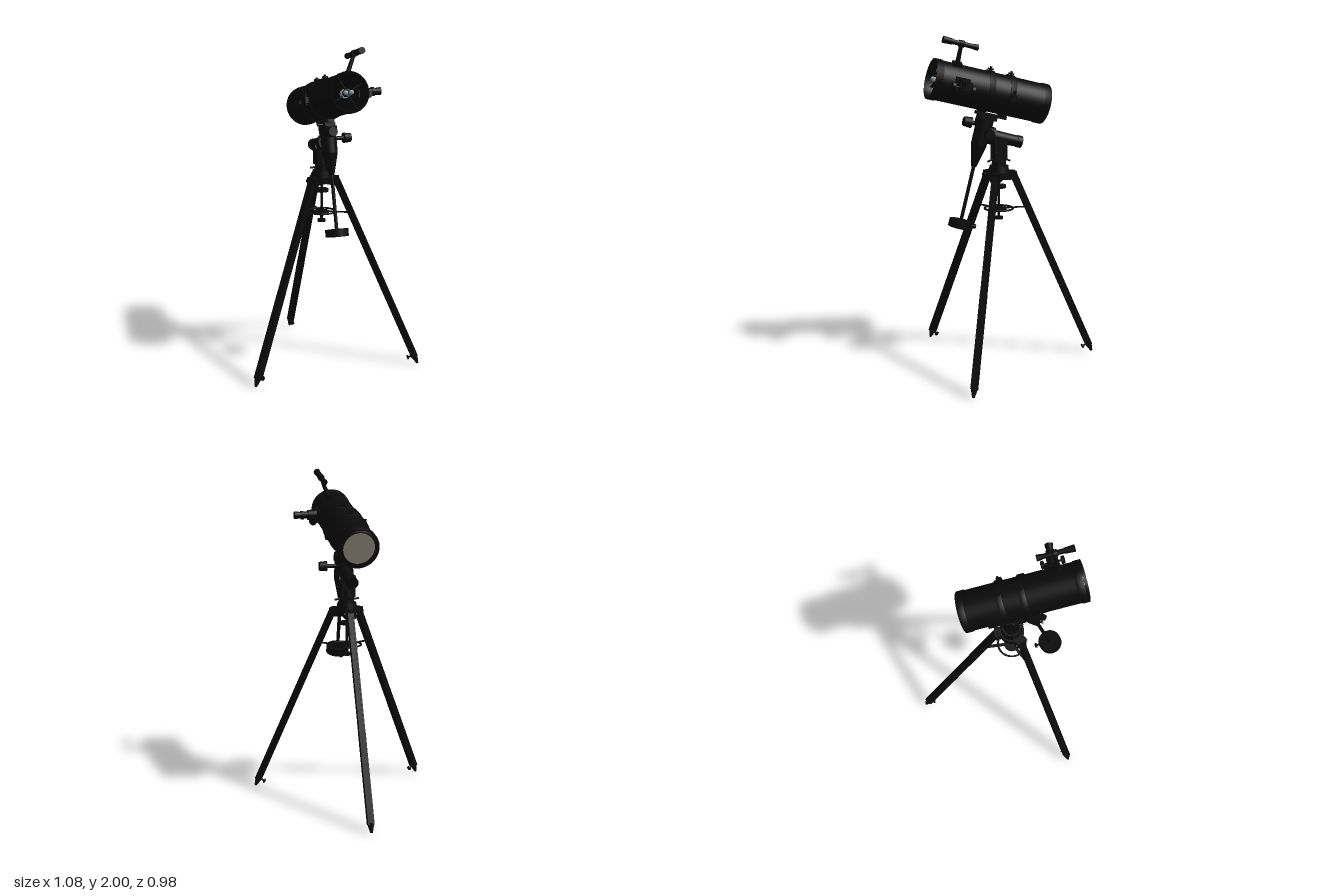
import * as THREE from 'three';

const black = new THREE.MeshStandardMaterial({ color: 0x0a0a0a, side: THREE.DoubleSide });
const mirrorBack = new THREE.MeshStandardMaterial({ color: 0x8c857a });
const glass = new THREE.MeshStandardMaterial({ color: 0x8fa3b5 });
const V = (x, y, z) => new THREE.Vector3(x, y, z);
const UP = V(0, 1, 0);

function add(parent, name, geometry, pos = V(0, 0, 0), mat = black) {
  const mesh = new THREE.Mesh(geometry, mat);
  mesh.name = name;
  mesh.position.copy(pos);
  parent.add(mesh);
  return mesh;
}

// Round bar from a to b, radius ra at a and rb at b
function rod(parent, name, a, b, ra, rb = ra, mat = black, sides = 28) {
  const axis = b.clone().sub(a);
  const mesh = add(parent, name, new THREE.CylinderGeometry(rb, ra, axis.length(), sides),
    a.clone().add(b).multiplyScalar(0.5), mat);
  mesh.quaternion.setFromUnitVectors(UP, axis.normalize());
  return mesh;
}

// Turned part along the x axis; profile is [radius, x]
function turned(parent, name, profile, mat = black) {
  const mesh = add(parent, name,
    new THREE.LatheGeometry(profile.map(([r, x]) => new THREE.Vector2(r, x)), 56), V(0, 0, 0), mat);
  mesh.rotation.z = -Math.PI / 2;
  return mesh;
}

function box(parent, name, w, h, d, pos) {
  return add(parent, name, new THREE.BoxGeometry(w, h, d), pos);
}

function buildTripod() {
  const tripod = new THREE.Group();
  tripod.name = 'tripod';
  tripod.position.set(0.022, 0, -0.135);

  // Column, head and spreader rod
  rod(tripod, 'headPlate', V(0, 1.15, 0), V(0, 1.185, 0), 0.075);
  rod(tripod, 'headCollar', V(0, 1.185, 0), V(0, 1.225, 0), 0.062, 0.056);
  rod(tripod, 'column', V(0, 1.225, 0), V(0, 1.30, 0), 0.044, 0.038);
  rod(tripod, 'centreRod', V(0, 0.9, 0), V(0, 1.16, 0), 0.008);
  rod(tripod, 'clampDisc', V(0, 1.09, 0), V(0, 1.108, 0), 0.042);
  rod(tripod, 'spreaderHub', V(0, 0.952, 0), V(0, 0.968, 0), 0.047);
  rod(tripod, 'rodKnob', V(0, 0.9, 0), V(0, 0.915, 0), 0.026);
  add(tripod, 'spreaderRing', new THREE.TorusGeometry(0.085, 0.006, 8, 40), V(0, 0.965, 0))
    .rotation.x = Math.PI / 2;

  const feet = [[-0.555, -0.27], [0.51, -0.348], [0.046, 0.617]];
  for (const [fx, fz] of feet) {
    // Each leg is built with local +z pointing outwards
    const side = new THREE.Group();
    side.name = 'legAssembly';
    side.rotation.y = Math.atan2(fx, fz);
    tripod.add(side);
    const reach = Math.hypot(fx, fz);
    const top = V(0, 1.17, 0.09), foot = V(0, 0.0, reach);
    const axis = top.clone().sub(foot), length = axis.length();

    const leg = new THREE.Group();
    leg.name = 'leg';
    leg.position.copy(foot);
    leg.quaternion.setFromUnitVectors(UP, axis.normalize());
    side.add(leg);
    for (const s of [-1, 1])
      box(leg, 'legRail', 0.009, length * 0.56, 0.037, V(s * 0.0135, length * 0.72, 0));
    box(leg, 'legUpperCore', 0.02, length * 0.56, 0.03, V(0, length * 0.72, 0));
    box(leg, 'legLower', 0.038, length * 0.42, 0.037, V(0, length * 0.25, 0));
    rod(leg, 'footTip', V(0, 0.004, 0), V(0, 0.06, 0), 0.007, 0.022, black, 16);
    rod(leg, 'footScrew', V(0, 0.06, -0.015), V(0, 0.06, -0.042), 0.006);
    rod(leg, 'footScrewKnob', V(0, 0.06, -0.038), V(0, 0.06, -0.046), 0.014);

    box(side, 'legHinge', 0.062, 0.05, 0.065, V(0, 1.165, 0.07));
    rod(side, 'hingeBolt', V(-0.04, 1.165, 0.09), V(0.04, 1.165, 0.09), 0.012);
    box(side, 'spreaderArm', 0.018, 0.006, 0.16, V(0, 0.965, 0.1));
  }

  // Fork carrying the polar axis, with its adjusting bolts
  const fork = new THREE.Group();
  fork.name = 'altitudeFork';
  fork.rotation.y = -0.42;
  tripod.add(fork);
  for (const s of [-1, 1]) {
    box(fork, 'forkCheek', 0.075, 0.13, 0.014, V(0, 1.325, s * 0.036));
    rod(fork, 'azimuthBolt', V(0, 1.245, s * 0.03), V(0, 1.245, s * 0.075), 0.006);
    rod(fork, 'altitudeBolt', V(s * 0.025, 1.27, 0), V(s * 0.07, 1.25, 0), 0.006);
  }
  rod(fork, 'altitudePivot', V(0, 1.36, -0.052), V(0, 1.36, 0.052), 0.026);
  box(fork, 'forkCore', 0.06, 0.09, 0.06, V(0, 1.32, 0));
  return tripod;
}

// Mount head: x along the tube, y along the declination axis
function buildMount(head) {
  rod(head, 'polarHousing', V(-0.235, 0, 0), V(-0.02, 0, 0), 0.033, 0.04);
  rod(head, 'polarCap', V(-0.255, 0, 0), V(-0.225, 0, 0), 0.036);
  rod(head, 'polarGear', V(-0.075, 0, 0), V(-0.035, 0, 0), 0.052);
  rod(head, 'declinationHousing', V(0, -0.07, 0), V(0, 0.07, 0), 0.047);
  rod(head, 'declinationTaper', V(0, -0.2, 0), V(0, -0.07, 0), 0.016, 0.047);
  rod(head, 'declinationGear', V(0, 0.045, 0), V(0, 0.088, 0), 0.055);
  box(head, 'saddle', 0.11, 0.022, 0.065, V(-0.01, 0.099, 0));
  box(head, 'dovetailBar', 0.19, 0.018, 0.04, V(-0.03, 0.118, 0));
  rod(head, 'saddleScrew', V(0, 0.1, 0.03), V(0, 0.1, 0.065), 0.009);

  // Slow-motion controls
  rod(head, 'declinationControl', V(0.03, 0.05, 0.015), V(0.08, 0.05, 0.015), 0.012);
  rod(head, 'declinationKnob', V(0.07, 0.05, 0.015), V(0.118, 0.05, 0.015), 0.033, 0.028, black, 16);
  rod(head, 'polarControl', V(-0.01, 0.015, -0.03), V(-0.01, 0.015, -0.11), 0.012);
  rod(head, 'polarKnob', V(-0.01, 0.015, -0.1), V(-0.01, 0.015, -0.145), 0.031, 0.027, black, 16);

  // Counterweight on its shaft
  rod(head, 'counterweightShaft', V(0, -0.575, 0), V(0, -0.18, 0), 0.0105);
  rod(head, 'counterweight', V(0, -0.572, 0), V(0, -0.528, 0), 0.07);
  rod(head, 'counterweightScrew', V(-0.065, -0.55, 0), V(-0.09, -0.55, 0), 0.006);
  rod(head, 'counterweightKnob', V(-0.085, -0.55, 0), V(-0.097, -0.55, 0), 0.014);
}

function buildTube() {
  const tube = new THREE.Group();
  tube.name = 'opticalTube';

  // Open tube with a rim at each end
  turned(tube, 'tubeShell', [[0.112, -0.35], [0.116, -0.35], [0.116, 0.35], [0.112, 0.35], [0.112, -0.35]]);
  for (const [a, b] of [[-0.356, -0.315], [0.315, 0.356]])
    turned(tube, 'endRim', [[0.108, a], [0.12, a], [0.12, b], [0.108, b], [0.108, a]]);
  turned(tube, 'rearCell', [[0.093, -0.354], [0.114, -0.354], [0.114, -0.33], [0, -0.33]]);
  rod(tube, 'mirrorBack', V(-0.35, 0, 0), V(-0.325, 0, 0), 0.094, 0.094, mirrorBack, 48);

  // Secondary mirror on its spider
  for (const a of [0, Math.PI / 2])
    box(tube, 'spiderVane', 0.018, 0.222, 0.002, V(0.315, 0, 0)).rotation.x = a + 0.5;
  rod(tube, 'secondaryHolder', V(0.295, 0, 0), V(0.335, 0, 0), 0.022);
  rod(tube, 'secondaryMirror', V(0.27, 0, 0), V(0.295, 0, 0), 0.026, 0.026, glass);
  for (const z of [-0.018, 0.018])
    add(tube, 'secondaryScrew', new THREE.SphereGeometry(0.014, 16, 10), V(0.337, 0, z), glass);

  // Mounting rings with clasp, hinge, top knob and foot
  [-0.114, 0.016].forEach((x, i) => {
    turned(tube, 'tubeRing', [[0.115, x - 0.017], [0.125, x - 0.017], [0.125, x + 0.017],
      [0.115, x + 0.017], [0.115, x - 0.017]]);
    const s = i ? 1 : -1;
    box(tube, 'ringClasp', 0.03, 0.035, 0.024, V(x, 0, s * 0.131));
    rod(tube, 'claspScrew', V(x, -0.03, s * 0.135), V(x, 0.04, s * 0.135), 0.007);
    box(tube, 'ringHinge', 0.03, 0.02, 0.012, V(x, 0, -s * 0.126));
    rod(tube, 'ringPost', V(x, 0.12, 0), V(x, 0.146, 0), 0.007);
    rod(tube, 'ringKnob', V(x, 0.127, 0), V(x, 0.136, 0), 0.018);
    box(tube, 'ringFoot', 0.034, 0.016, 0.045, V(x, -0.125, 0));
  });

  // Focuser and eyepiece on the far side
  const focuser = new THREE.Group();
  focuser.name = 'focuser';
  focuser.position.set(0.2, 0.012, 0);
  tube.add(focuser);
  box(focuser, 'focuserBase', 0.085, 0.07, 0.02, V(0, 0, -0.117));
  rod(focuser, 'focuserBody', V(0, 0, -0.115), V(0, 0, -0.18), 0.034, 0.03);
  rod(focuser, 'drawTube', V(0, 0, -0.17), V(0, 0, -0.215), 0.021);
  rod(focuser, 'drawTubeCollar', V(0, 0, -0.205), V(0, 0, -0.222), 0.026);
  rod(focuser, 'eyepiece', V(0, 0, -0.22), V(0, 0, -0.262), 0.019, 0.024);
  rod(focuser, 'focusAxle', V(-0.055, -0.02, -0.158), V(0.055, -0.02, -0.158), 0.006);
  for (const s of [-1, 1])
    rod(focuser, 'focusWheel', V(s * 0.05, -0.02, -0.158), V(s * 0.068, -0.02, -0.158), 0.023);

  // Finder scope on its stalk
  const finder = new THREE.Group();
  finder.name = 'finderScope';
  finder.rotation.x = -0.39;
  tube.add(finder);
  box(finder, 'finderShoe', 0.055, 0.022, 0.036, V(0.235, 0.124, 0));
  rod(finder, 'finderStalk', V(0.235, 0.13, 0), V(0.25, 0.24, 0), 0.014, 0.011);
  rod(finder, 'finderTube', V(0.17, 0.25, 0), V(0.32, 0.25, 0), 0.014);
  rod(finder, 'finderObjective', V(0.305, 0.25, 0), V(0.362, 0.25, 0), 0.017, 0.02);
  rod(finder, 'finderEyepiece', V(0.15, 0.25, 0), V(0.18, 0.25, 0), 0.018, 0.016);
  turned(finder, 'finderRing', [[0.013, 0.235], [0.02, 0.235], [0.02, 0.265], [0.013, 0.265]])
    .position.y = 0.25;
  return tube;
}

export function createModel() {
  const model = new THREE.Group();
  model.name = 'telescope';
  model.add(buildTripod());

  // Tilted frame shared by the mount head and the tube
  const along = V(0.886, 0.239, 0.398).normalize();
  const across = along.clone().cross(UP).normalize();
  const upward = across.clone().cross(along);
  const head = new THREE.Group();
  head.name = 'equatorialHead';
  head.quaternion.setFromRotationMatrix(new THREE.Matrix4().makeBasis(along, upward, across));
  head.position.set(0.122, 1.42, -0.09);
  model.add(head);

  buildMount(head);
  const tube = buildTube();
  tube.position.set(0.017, 0.249, 0.002);
  head.add(tube);
  return model;
}
